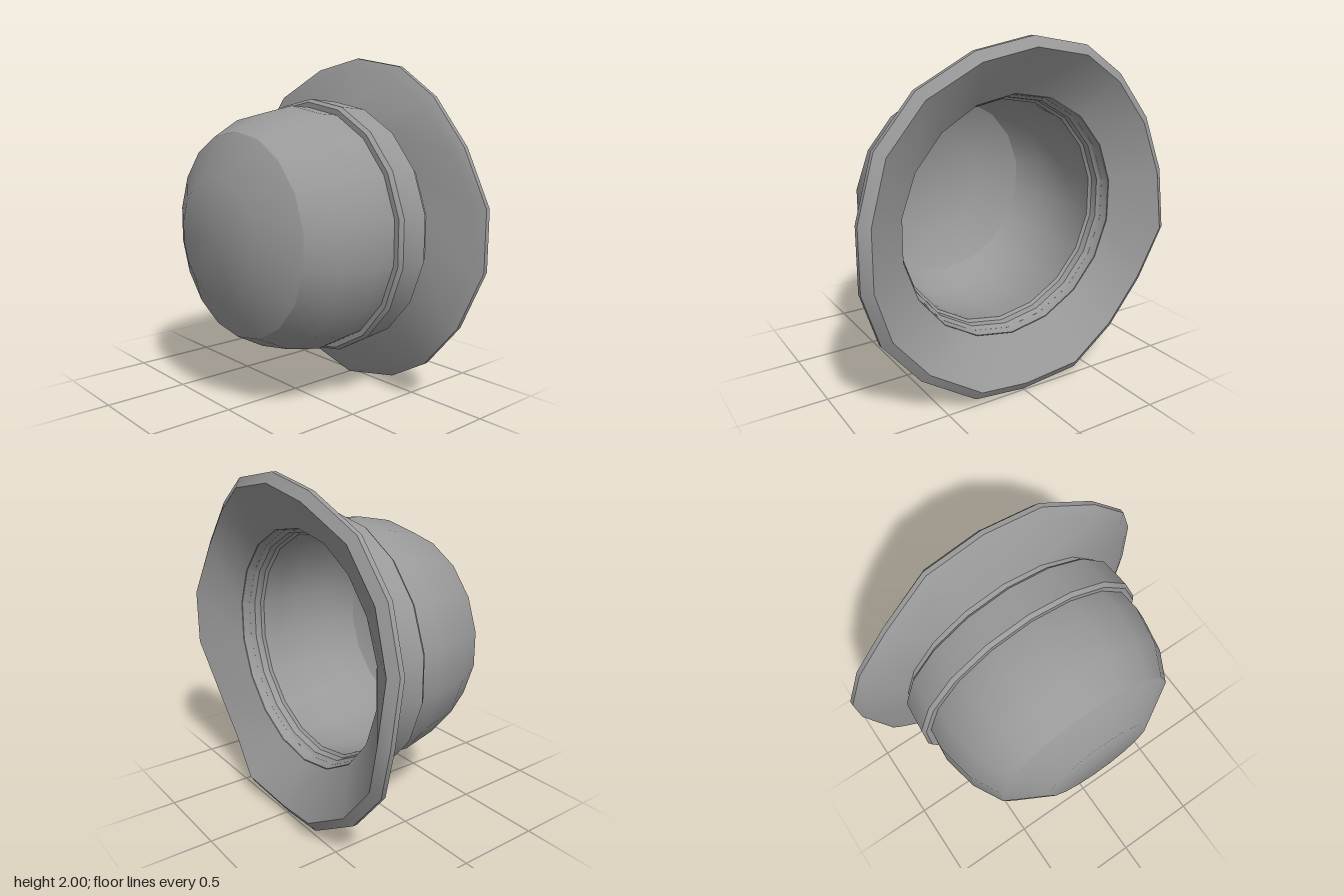
import * as THREE from 'three';
import { toCreasedNormals } from 'three/addons/utils/BufferGeometryUtils.js';

const SIDES = 18;
const CENTRE_Y = 1.0;

// Sweeps an [r, z] profile around the z axis; profileAt(i) may vary by side.
function sweep(name, profileAt, material) {
  const point = (i, j) => {
    const [r, z] = profileAt(i % SIDES)[j];
    const a = (i % SIDES) * Math.PI * 2 / SIDES;
    return [r * Math.sin(a), CENTRE_Y + r * Math.cos(a), z];
  };
  const profile = profileAt(0);
  const pos = [];
  for (let j = 0; j < profile.length - 1; j++) {
    for (let i = 0; i < SIDES; i++) {
      const a = point(i, j), b = point(i + 1, j);
      const c = point(i, j + 1), d = point(i + 1, j + 1);
      if (profile[j][0] > 0) pos.push(...a, ...b, ...d);
      if (profile[j + 1][0] > 0) pos.push(...a, ...d, ...c);
    }
  }
  const geometry = new THREE.BufferGeometry();
  geometry.setAttribute('position', new THREE.Float32BufferAttribute(pos, 3));
  const mesh = new THREE.Mesh(toCreasedNormals(geometry, 0.55), material);
  mesh.name = name;
  return mesh;
}

export function createModel() {
  const group = new THREE.Group();
  group.name = 'hat';
  const felt = new THREE.MeshStandardMaterial({ color: 0x999999 });

  // Domed crown: outer wall, neck, stepped inner ledge, then the lining
  const crown = [
    [0, 0.563], [0.34, 0.563], [0.58, 0.427], [0.673, 0.25], [0.717, 0.03],
    [0.705, -0.12], [0.688, -0.33], [0.698, -0.362],
    [0.69, -0.368], [0.678, -0.31], [0.664, -0.295], [0.66, -0.255], [0.645, -0.24],
    [0.665, -0.12], [0.677, 0.03], [0.647, 0.25], [0.56, 0.405], [0.33, 0.53], [0, 0.53],
  ];
  group.add(sweep('crown', () => crown, felt));

  // Ribbon band with bevelled edges
  const band = [
    [0.69, -0.098], [0.737, -0.098], [0.755, -0.12], [0.74, -0.305],
    [0.724, -0.322], [0.68, -0.322],
  ];
  group.add(sweep('hatBand', () => band, felt));

  // Wavy brim: z of the rim at each side, clockwise from the top
  const rim = [
    -0.525, -0.525, -0.475, -0.47, -0.525, -0.525, -0.47, -0.463, -0.525,
    -0.49, -0.525, -0.49, -0.485, -0.53, -0.48, -0.46, -0.465, -0.525,
  ];
  const brimAt = (i) => {
    const z = rim[i];
    return [
      [0.698, -0.36], [0.945, z + 0.063], [1, z + 0.028], [1, z],
      [0.945, z - 0.036], [0.692, -0.372], [0.698, -0.36],
    ];
  };
  group.add(sweep('brim', brimAt, felt));

  return group;
}
